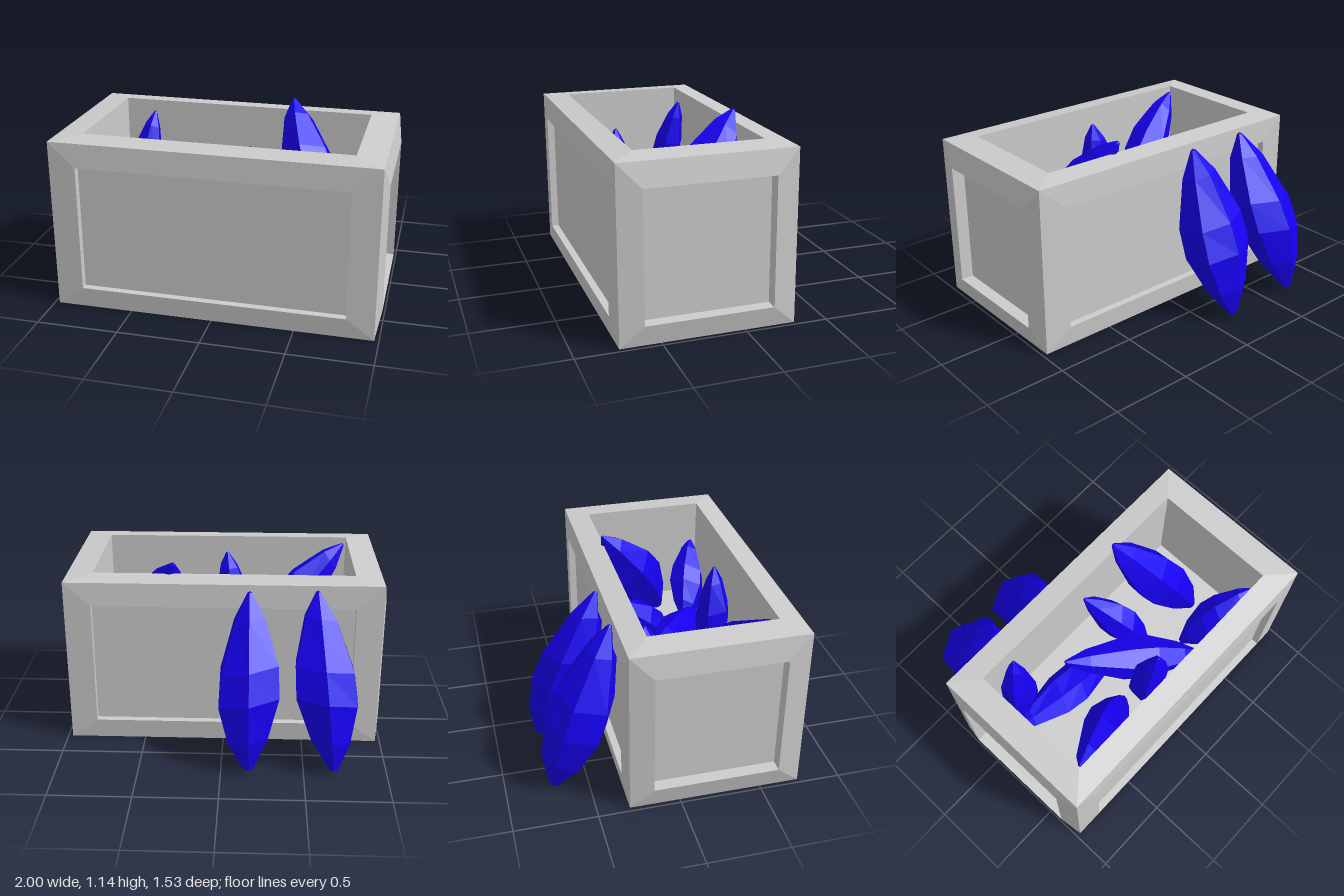
import * as THREE from 'three';

const CZ = 0.218; // crate centre in z
const V = (x, y, z) => new THREE.Vector3(x, y, z);

// One crate side: sloped frame from corners to inset edge, ledge, then sunken panel
function sidePanel(name, outer, inset, push, material) {
  const sunk = inset.map((p) => p.clone().add(push));
  const tris = [];
  const quad = (a, b, c, d) => [a, b, c, a, c, d].forEach((p) => tris.push(p));
  for (let i = 0; i < 4; i++) {
    const j = (i + 1) % 4;
    quad(outer[i], outer[j], inset[j], inset[i]);
    quad(inset[i], inset[j], sunk[j], sunk[i]);
  }
  quad(...sunk);
  const geometry = new THREE.BufferGeometry().setFromPoints(tris);
  geometry.computeVertexNormals();
  const mesh = new THREE.Mesh(geometry, material);
  mesh.name = name;
  return mesh;
}

// Faceted spindle stretched between two tips
function shard(name, upper, lower, radius, seed, material) {
  const a = V(...lower), b = V(...upper);
  const length = a.distanceTo(b);
  const profile = [[0, 0], [0.15, 0.01], [0.66, 0.18], [1, 0.4], [0.95, 0.58], [0.5, 0.85], [0.08, 0.99], [0, 1]]
    .map(([r, t]) => new THREE.Vector2(r * radius, t * length));
  const geometry = new THREE.LatheGeometry(profile, 6);
  const pos = geometry.attributes.position;
  // uneven facets and slightly tilted rings
  for (let i = 0; i < pos.count; i++) {
    const x = pos.getX(i), y = pos.getY(i), z = pos.getZ(i);
    const r = Math.hypot(x, z);
    if (r < 1e-5) continue;
    const angle = Math.atan2(x, z);
    const k = 1 + 0.08 * Math.sin(2 * angle + seed + 3 * y / length);
    const lift = 0.25 * r * Math.cos(angle + seed * 2);
    pos.setXYZ(i, x * k, y + lift, z * k);
  }
  geometry.computeVertexNormals();
  const mesh = new THREE.Mesh(geometry, material);
  mesh.quaternion.setFromUnitVectors(V(0, 1, 0), b.clone().sub(a).normalize());
  mesh.position.copy(a);
  mesh.name = name;
  return mesh;
}

export function createModel() {
  const model = new THREE.Group();
  const grey = new THREE.MeshStandardMaterial({ color: 0xcccccc, flatShading: true, side: THREE.DoubleSide });
  const blue = new THREE.MeshStandardMaterial({ color: 0x1600f0, flatShading: true });

  // Crate: open underneath, sunken panels on four sides, deep well on top
  const crate = new THREE.Group();
  crate.name = 'crate';
  const signs = [[-1, -1], [1, -1], [1, 1], [-1, 1]];
  const cx = 0.972, cz = 0.525, top = 1.053; // corner extents
  const ix = 0.805, iz = 0.385, y0 = 0.126, y1 = 0.908; // inset extents
  for (const s of [1, -1]) {
    const wind = s > 0 ? signs : [...signs].reverse();
    crate.add(sidePanel(
      s > 0 ? 'frontPanel' : 'backPanel',
      wind.map(([u, v]) => V(u * cx, v < 0 ? 0 : top, CZ + s * cz)),
      wind.map(([u, v]) => V(u * ix, v < 0 ? y0 : y1, CZ + s * 0.537)),
      V(0, 0, -s * 0.045), grey));
    crate.add(sidePanel(
      s > 0 ? 'leftPanel' : 'rightPanel',
      wind.map(([u, v]) => V(s * cx, v < 0 ? 0 : top, CZ - u * cz)),
      wind.map(([u, v]) => V(s, v < 0 ? y0 : y1, CZ - u * iz)),
      V(-s * 0.08, 0, 0), grey));
  }
  crate.add(sidePanel(
    'topRimAndWell',
    signs.map(([u, v]) => V(u * cx, top, CZ - v * cz)),
    signs.map(([u, v]) => V(u * ix, 1.07, CZ - v * iz)),
    V(0, -0.68, 0), grey));
  model.add(crate);

  // Crystals: [upper tip, lower tip, radius]
  const inside = [
    [[-0.82, 0.5, 0.05], [0.02, 0.39, 0.13], 0.13],
    [[-0.34, 0.72, 0.02], [0.4, 0.38, 0.55], 0.135],
    [[-0.79, 1.03, 0.59], [-0.17, 0.36, 0.39], 0.15],
    [[-0.6, 1.01, -0.13], [-0.7, 0.4, 0.0], 0.105],
    [[0.03, 0.8, -0.16], [0.22, 0.4, 0.23], 0.12],
    [[0.31, 1.14, -0.18], [0.61, 0.4, 0.29], 0.175],
    [[0.82, 0.79, 0.57], [0.36, 0.4, 0.4], 0.12],
    [[0.0, 1.0, 0.48], [-0.08, 0.36, 0.45], 0.12],
  ];
  const leaning = [
    [[-0.57, 1.03, -0.32], [-0.68, 0.02, -0.71], 0.2],
    [[-0.16, 1.02, -0.32], [-0.17, 0.02, -0.72], 0.2],
  ];
  const crystals = new THREE.Group();
  crystals.name = 'crystals';
  inside.forEach(([a, b, r], i) => crystals.add(shard('crystalInCrate' + (i + 1), a, b, r, i * 1.3, blue)));
  leaning.forEach(([a, b, r], i) => crystals.add(shard('leaningCrystal' + (i + 1), a, b, r, 2.6 + i * 0.9, blue)));
  model.add(crystals);
  return model;
}
